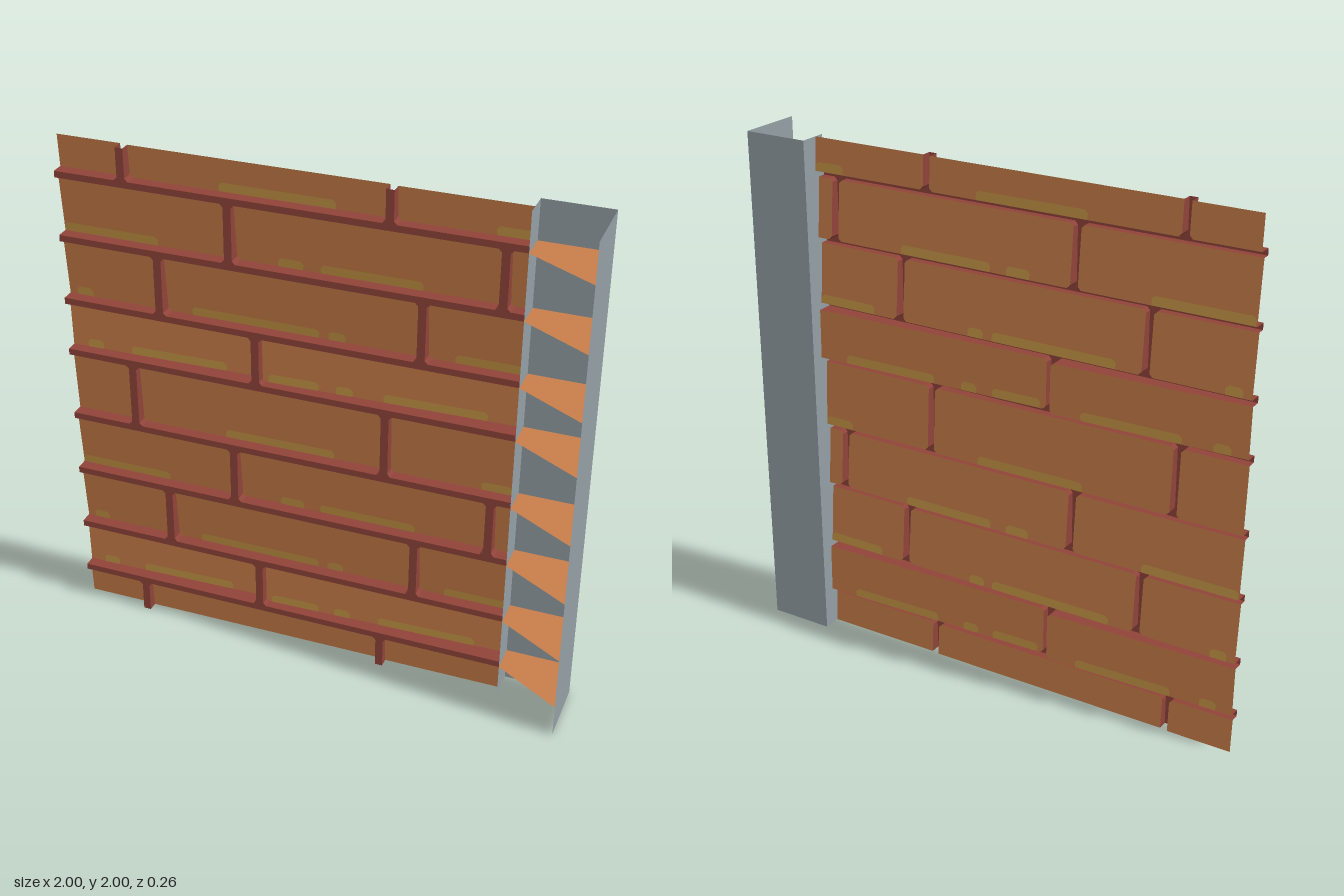
import * as THREE from 'three';

const material = (name, color) => new THREE.MeshStandardMaterial({ name, color, side: THREE.DoubleSide });

const LEFT = -1, RIGHT = 0.745, TOP = 2, FACE = -0.02, JOINT = 0.03;

// Brick courses, repeating every unit: height range, joint position, depth at
// the upper left corner, depth change along x and down y, worn patches [x0, x1]
const courses = [
  { y0: 0.155, y1: 0.345, joint: -0.25, z: -0.053, dx: -0.027, dy: -0.004, worn: [[-0.94, -0.87], [-0.76, -0.37], [-0.2, 0]] },
  { y0: 0.37, y1: 0.6, joint: -0.625, z: -0.048, dx: 0, dy: -0.02, worn: [[-0.97, -0.9], [-0.5, 0]] },
  { y0: 0.625, y1: 0.85, joint: -0.345, z: -0.048, dx: 0, dy: -0.02, worn: [[-1, -0.62], [-0.16, -0.06]] },
  { y0: 0.875, y1: 1.13, joint: -0.75, z: -0.05, dx: -0.005, dy: -0.015, worn: [[-0.38, 0.06]] },
];

// Collects flat convex polygons into one geometry
class Facets {
  constructor() { this.points = []; }
  add(poly) {
    for (let i = 1; i < poly.length - 1; i++) this.points.push(...poly[0], ...poly[i], ...poly[i + 1]);
  }
  mesh(name, mat) {
    const geo = new THREE.BufferGeometry();
    geo.setAttribute('position', new THREE.Float32BufferAttribute(this.points, 3));
    geo.computeVertexNormals();
    const mesh = new THREE.Mesh(geo, mat);
    mesh.name = name;
    return mesh;
  }
}

// Rectangle outline with cut corners, except at corners on the wall's outer edge
function outline(x0, x1, y0, y1, r, onCorner) {
  const points = [];
  const corners = [[x0, y0, 1, 1], [x1, y0, -1, 1], [x1, y1, -1, -1], [x0, y1, 1, -1]];
  corners.forEach(([x, y, sx, sy], i) => {
    if (x === LEFT || x === RIGHT || y === 0 || y === TOP) { points.push([x, y]); return; }
    const alongX = [x + sx * r, y], alongY = [x, y + sy * r];
    points.push(...(i % 2 ? [alongX, alongY] : [alongY, alongX]));
    if (onCorner) onCorner([x, y], alongX, alongY);
  });
  return points;
}

export function createModel() {
  const root = new THREE.Group();
  root.name = 'brickWallSection';
  const brickMat = material('brick orange', 0xc87d49);
  const mortarMat = material('mortar red', 0x8f4339);
  const wornMat = material('worn ochre', 0xc69545);
  const steelMat = material('steel grey', 0x929ea4);

  const bricks = new Facets(), mortar = new Facets(), worn = new Facets();
  const clampX = (x) => Math.min(RIGHT, Math.max(LEFT, x));
  const clampY = (y) => Math.min(TOP, Math.max(0, y));
  const front = (x0, x1, y0, y1) =>
    mortar.add([[x0, y0, FACE], [x1, y0, FACE], [x1, y1, FACE], [x0, y1, FACE]]);

  for (const c of courses) {
    for (const lift of [-1, 0, 1]) {
      const y0 = clampY(c.y0 + lift), y1 = clampY(c.y1 + lift);
      if (y1 - y0 < 0.01) continue;
      for (const shift of [-1, 0, 1]) {
        const start = c.joint + JOINT + shift;
        const x0 = clampX(start), x1 = clampX(c.joint + 1 + shift);

        // Upright mortar joint
        const j0 = clampX(c.joint + shift), j1 = clampX(c.joint + JOINT + shift);
        if (j1 - j0 > 0.01) front(j0, j1, y0, y1);
        if (x1 - x0 < 0.01) continue;

        // Slightly tilted brick face
        const depth = (x, y) => c.z + c.dx * (x - start) + c.dy * (c.y1 + lift - y) / (c.y1 - c.y0);
        const place = (points, off) => points.map(([x, y]) => [x, y, depth(x, y) + off]);
        const edge = outline(x0, x1, y0, y1, 0.012, (...tri) =>
          mortar.add(tri.map(([x, y]) => [x, y, FACE])));
        bricks.add(place(edge, 0));

        // Mortar sides joining the brick to the raised mortar front
        edge.forEach((a, i) => {
          const b = edge[(i + 1) % edge.length];
          const open = (k, v) => a[k] === v && b[k] === v;
          if (open(0, LEFT) || open(0, RIGHT) || open(1, 0) || open(1, TOP)) return;
          mortar.add([[...a, FACE], [...b, FACE], [...b, depth(...b)], [...a, depth(...a)]]);
        });

        // Worn patches along the lower edge, on both faces
        if (c.y0 + lift < 0) continue;
        for (const [w0, w1] of c.worn) {
          for (const move of [0, 1]) {
            const p0 = Math.max(x0, w0 + move), p1 = Math.min(x1, w1 + move);
            if (p1 - p0 < 0.03) continue;
            const yb = y0 + 0.001, yt = y0 + 0.035;
            const patch = [[p0 + 0.004, yb], [p1 - 0.004, yb], [p1 - 0.002, yt - 0.012],
              [p1 - 0.014, yt], [p0 + 0.014, yt], [p0 + 0.002, yt - 0.012]];
            worn.add(place(patch, 0.002));
            worn.add(place(patch, -0.002));
          }
        }
      }
    }
  }

  // Level mortar beds and, at the same heights, the tie plates in the channel
  const ties = new Facets();
  for (const lift of [0, 1]) {
    for (const [y0, y1] of [[0.13, 0.155], [0.345, 0.37], [0.6, 0.625], [0.85, 0.875]]) {
      front(LEFT, RIGHT, y0 + lift, y1 + lift);
      const y = y0 + lift;
      ties.add([[RIGHT, y, FACE], [0.999, y, 0.13], [0.999, y, -0.129], [RIGHT, y, -0.129]]);
    }
  }

  // Upright steel channel: inner flange, back and deeper outer flange
  const channel = new Facets();
  const section = [[RIGHT, FACE], [RIGHT, -0.13], [1, -0.13], [1, 0.13]];
  for (let i = 0; i < 3; i++) {
    const [a, b] = [section[i], section[i + 1]];
    channel.add([[a[0], 0, a[1]], [b[0], 0, b[1]], [b[0], TOP, b[1]], [a[0], TOP, a[1]]]);
  }

  root.add(
    bricks.mesh('bricks', brickMat),
    mortar.mesh('mortar', mortarMat),
    worn.mesh('wornPatches', wornMat),
    ties.mesh('tiePlates', brickMat),
    channel.mesh('steelChannel', steelMat),
  );
  return root;
}
